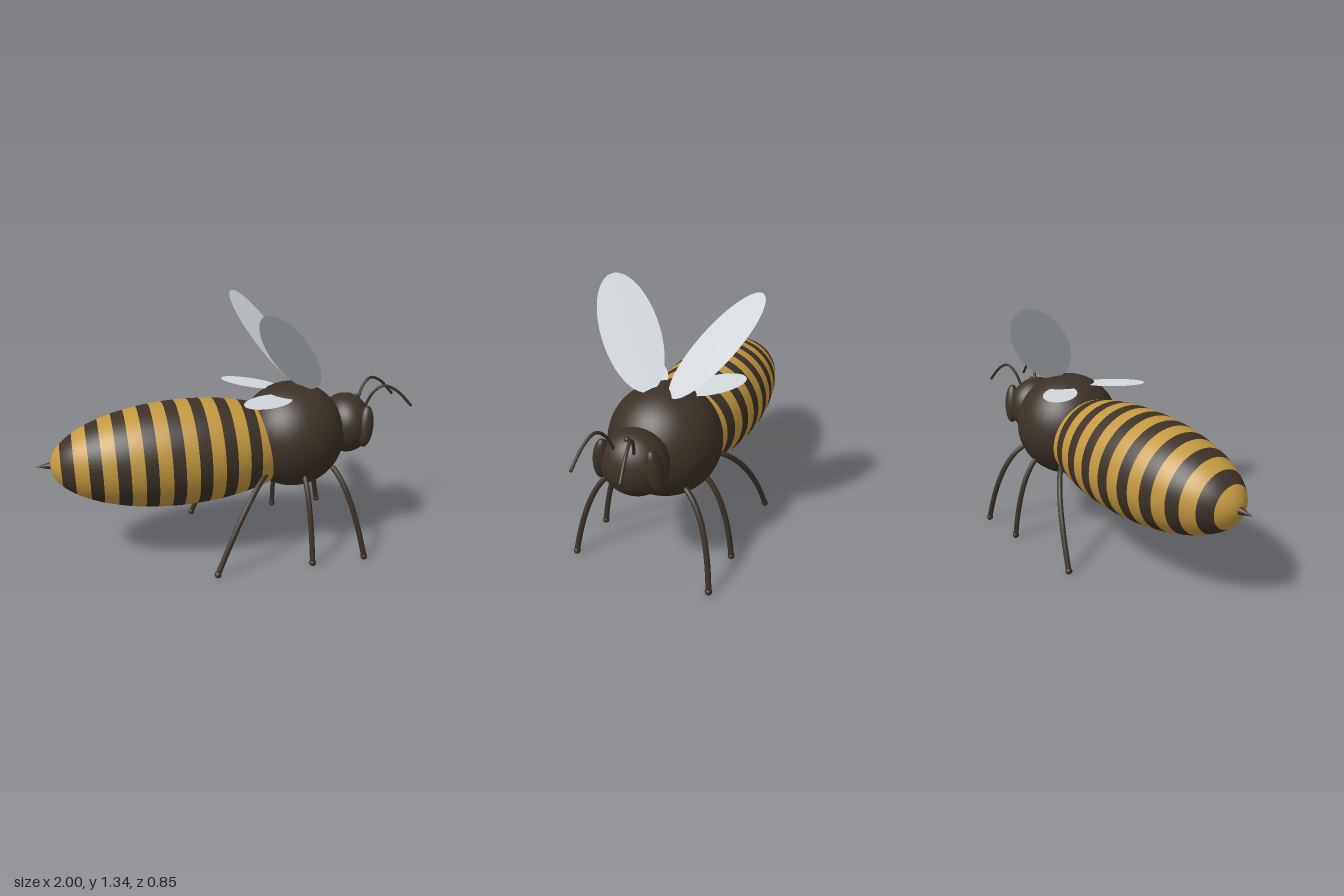
import * as THREE from 'three';

const V = (x, y, z) => new THREE.Vector3(x, y, z);

export function createModel() {
  const bee = new THREE.Group();
  bee.name = 'bee';
  const dark = new THREE.MeshStandardMaterial({ color: 0x3c3126 });
  dark.name = 'dark brown';
  const gold = new THREE.MeshStandardMaterial({ color: 0xc4983f });
  gold.name = 'gold';
  const wingGrey = new THREE.MeshStandardMaterial({ color: 0xd3d8dc, side: THREE.DoubleSide });
  wingGrey.name = 'pale wing grey';

  const add = (name, geometry, material, parent = bee) => {
    const mesh = new THREE.Mesh(geometry, material);
    mesh.name = name;
    parent.add(mesh);
    return mesh;
  };
  const ellipsoid = (name, center, radii, parent = bee) => {
    const mesh = add(name, new THREE.SphereGeometry(1, 40, 28), dark, parent);
    mesh.scale.set(...radii);
    mesh.position.copy(center);
    return mesh;
  };
  // Curved limb with rounded ends
  const limb = (name, curve, radius, tipRadius) => {
    const group = new THREE.Group();
    group.name = name;
    add(name + 'Shaft', new THREE.TubeGeometry(curve, 24, radius, 10), dark, group);
    ellipsoid(name + 'Base', curve.getPoint(0), [radius, radius, radius], group);
    ellipsoid(name + 'Tip', curve.getPoint(1), [tipRadius, tipRadius, tipRadius], group);
    bee.add(group);
  };
  // Flat elliptical wing spanned by a long direction and a normal
  const wing = (name, center, along, normal, length, width) => {
    const u = along.clone().normalize();
    const v = normal.clone().cross(u).normalize();
    const n = u.clone().cross(v);
    const geometry = new THREE.CircleGeometry(1, 56);
    geometry.scale(length, width, 1);
    geometry.applyMatrix4(new THREE.Matrix4().makeBasis(u, v, n).setPosition(center));
    add(name, geometry, wingGrey);
  };

  // Abdomen: one ellipsoid cut into alternating bands
  const abdomen = new THREE.Group();
  abdomen.name = 'abdomen';
  abdomen.position.set(-0.245, 0.562, 0);
  abdomen.rotation.z = 0.027;
  bee.add(abdomen);
  const half = 0.685;
  const cuts = [-half];
  for (let k = -4; k <= 5; k++) {
    const middle = -0.062 + 0.134 * k;
    cuts.push(middle - 0.032, middle + 0.032);
  }
  const edges = cuts.filter((c) => c < half - 0.01);
  edges.push(half);
  for (let i = 0; i < edges.length - 1; i++) {
    const start = Math.acos(edges[i + 1] / half);
    const end = Math.acos(edges[i] / half);
    const band = new THREE.SphereGeometry(1, 64, 6, 0, Math.PI * 2, start, end - start);
    band.rotateZ(-Math.PI / 2);
    band.scale(half, 0.278, 0.285);
    add(i % 2 ? 'darkBand' : 'goldBand', band, i % 2 ? dark : gold, abdomen);
  }

  // Stinger
  const stinger = new THREE.ConeGeometry(0.023, 0.09, 20);
  stinger.rotateZ(Math.PI / 2);
  stinger.translate(-0.955, 0.547, 0);
  add('stinger', stinger, dark);

  // Thorax and head
  ellipsoid('thorax', V(0.355, 0.615, 0), [0.285, 0.285, 0.285]);
  ellipsoid('head', V(0.665, 0.653, 0), [0.136, 0.163, 0.17]);
  ellipsoid('ocellus', V(0.722, 0.799, 0), [0.014, 0.014, 0.014]);

  // Leg pairs as [name, hip x, bend x, foot x]
  const legs = [
    ['frontLeg', 0.53, 0.585, 0.66],
    ['middleLeg', 0.36, 0.36, 0.37],
    ['hindLeg', 0.155, 0.02, -0.14],
  ];

  for (const s of [1, -1]) {
    const side = s > 0 ? 'front' : 'back';
    const eye = ellipsoid(side + 'Eye', V(0.725, 0.67, s * 0.138), [0.042, 0.112, 0.04]);
    eye.rotation.set(-s * 0.14, 0, -0.12);

    const antenna = new THREE.CatmullRomCurve3([
      V(0.755, 0.755, s * 0.05), V(0.79, 0.835, s * 0.068), V(0.84, 0.874, s * 0.085),
      V(0.91, 0.846, s * 0.102), V(0.992, 0.764, s * 0.118),
    ]);
    limb(side + 'Antenna', antenna, 0.0075, 0.008);

    for (const [name, hip, bend, foot] of legs) {
      const path = new THREE.QuadraticBezierCurve3(
        V(hip, 0.47, s * 0.195), V(bend, 0.39, s * 0.328), V(foot, 0.018, s * 0.37));
      limb(side + name[0].toUpperCase() + name.slice(1), path, 0.0145, 0.018);
    }

    wing(side + 'ForeWing', V(0.264, 1.11, s * 0.225),
      V(-0.459, 0.715, s * 0.528), V(0.561, 0.692, -s * 0.453), 0.321, 0.146);
    wing(side + 'HindWing', V(0.17, 0.863, s * 0.18),
      V(-0.77, 0.05, s * 0.63), V(0.065, 1, 0), 0.175, 0.09);
  }
  return bee;
}
